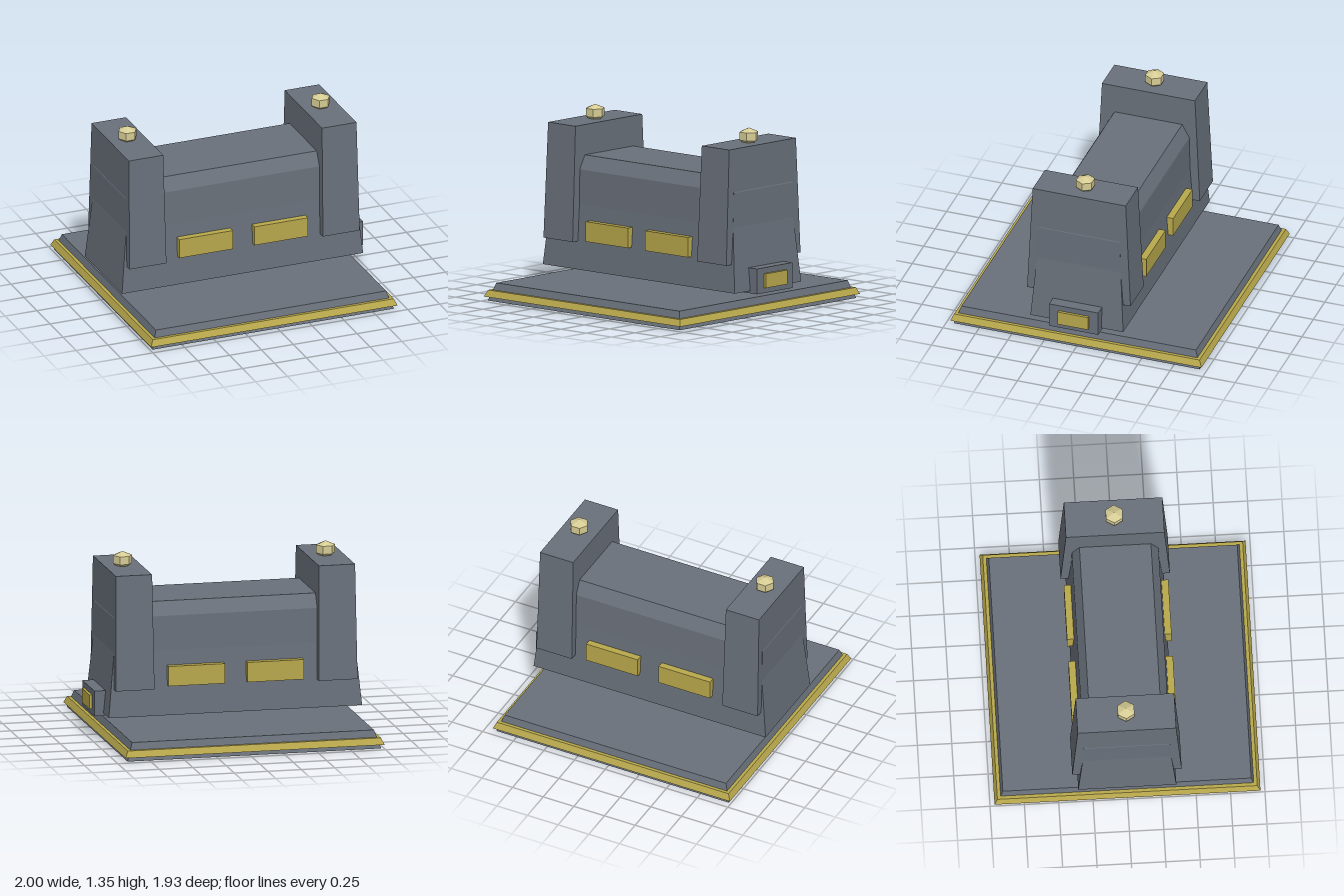
import * as THREE from 'three';

const mat = (name, color) => {
  const m = new THREE.MeshStandardMaterial({ color });
  m.name = name;
  return m;
};

// Solid with rectangular cross-sections [y, halfX, halfZ], listed bottom to top
function loft(sections) {
  const ring = ([y, a, b]) => [[-a, y, b], [a, y, b], [a, y, -b], [-a, y, -b]];
  const pos = [];
  const quad = (a, b, c, d) => pos.push(...a, ...b, ...c, ...a, ...c, ...d);
  const rings = sections.map(ring);
  for (let i = 0; i < rings.length - 1; i++) {
    for (let k = 0; k < 4; k++) {
      const n = (k + 1) % 4;
      quad(rings[i][k], rings[i][n], rings[i + 1][n], rings[i + 1][k]);
    }
  }
  const [p, q, r, s] = rings[0];
  quad(s, r, q, p);
  quad(...rings[rings.length - 1]);
  const g = new THREE.BufferGeometry();
  g.setAttribute('position', new THREE.Float32BufferAttribute(pos, 3));
  g.computeVertexNormals();
  return g;
}

export function createModel() {
  const slate = mat('slate', 0x69707a);
  const gold = mat('gold', 0xb8a84c);
  const paleGold = mat('paleGold', 0xd6cc94);
  const model = new THREE.Group();
  const CX = -0.033; // centre of the main structure

  const add = (name, geometry, material, x = CX, y = 0, z = 0) => {
    const mesh = new THREE.Mesh(geometry, material);
    mesh.name = name;
    mesh.position.set(x, y, z);
    model.add(mesh);
    return mesh;
  };

  // Sloped base plate with its gold band
  add('basePlate', loft([[0, 0.947, 0.947], [0.13, 0.903, 0.903]]), slate);
  add('baseTrim', loft([[0.03, 0.967, 0.967], [0.078, 0.945, 0.945]]), gold);

  // Floating body: flared foot, upright wall, chamfered top
  add('body', loft([
    [0.195, 0.946, 0.357],
    [0.67, 0.899, 0.322],
    [0.925, 0.899, 0.315],
    [1.025, 0.85, 0.26],
  ]), slate);

  // End towers, each with a hexagonal finial
  const finialProfile = [[0, 0], [0.05, 0], [0.07, 0.016], [0.07, 0.075], [0, 0.105]]
    .map(([r, y]) => new THREE.Vector2(r, y));
  const finialGeometry = new THREE.LatheGeometry(finialProfile, 6).toNonIndexed();
  finialGeometry.rotateY(Math.PI / 6);
  finialGeometry.computeVertexNormals();
  for (const side of [-1, 1]) {
    const label = side > 0 ? 'left' : 'right';
    const x = CX + side * 0.758;
    add(label + 'Tower', loft([[0.4, 0.144, 0.398], [1.247, 0.135, 0.358]]), slate, x);
    add(label + 'Finial', finialGeometry, paleGold, x, 1.247);
  }

  // Two gold panels on the front and on the back
  for (const z of [-1, 1]) {
    for (const x of [-1, 1]) {
      const label = (z > 0 ? 'front' : 'back') + (x > 0 ? 'Left' : 'Right');
      add(label + 'Panel', new THREE.BoxGeometry(0.42, 0.147, 0.08), gold,
        CX + x * 0.295, 0.488, z * 0.34);
    }
  }

  // Box on the left end with a gold plate
  add('endBox', new THREE.BoxGeometry(0.21, 0.187, 0.378), slate, 0.875, 0.27, 0);
  add('endBoxPlate', new THREE.BoxGeometry(0.04, 0.105, 0.232), gold, 0.98, 0.268, 0);

  return model;
}
